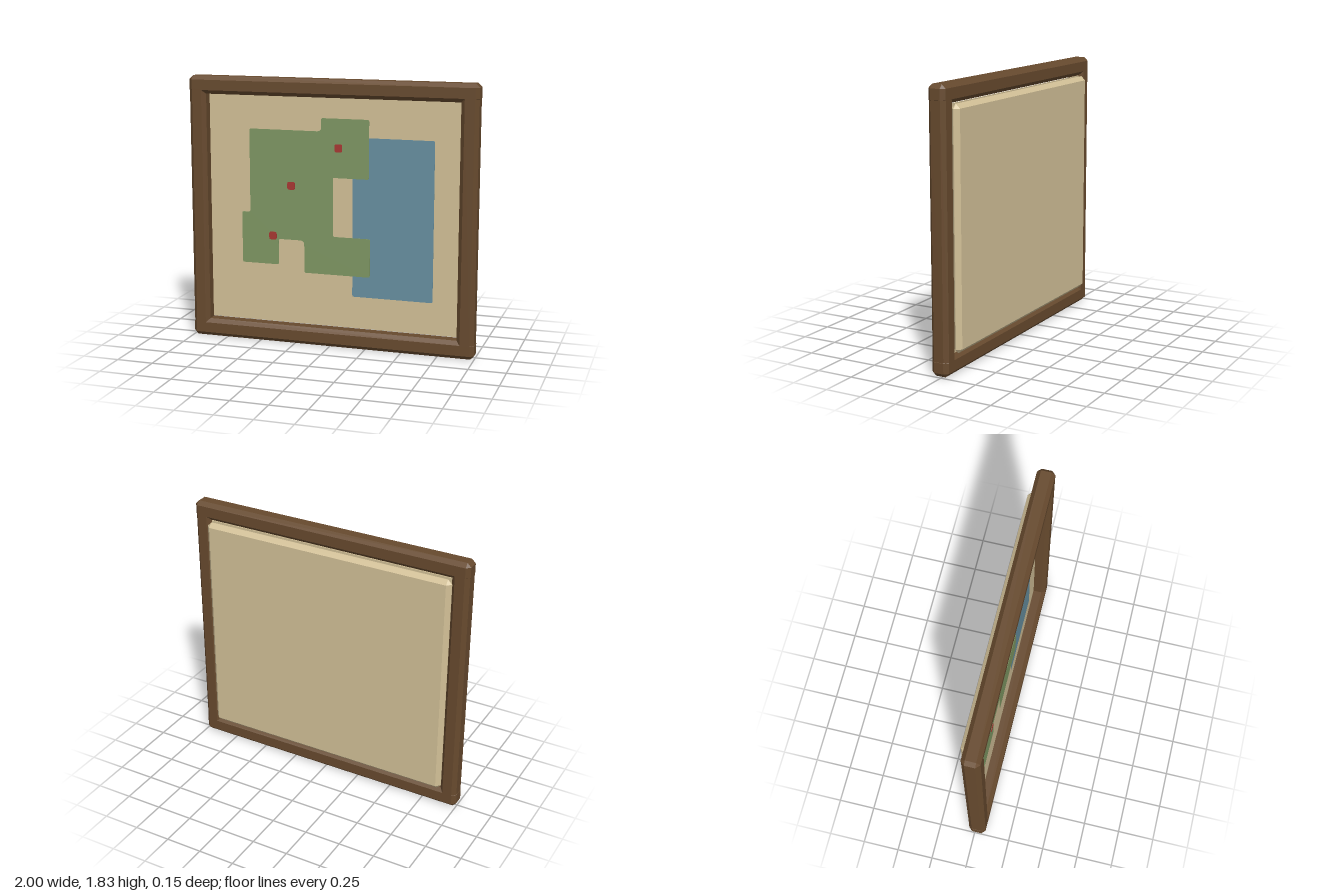
import * as THREE from 'three';
import { ConvexGeometry } from 'three/addons/geometries/ConvexGeometry.js';

const material = (name, color) => {
  const m = new THREE.MeshStandardMaterial({ color });
  m.name = name;
  return m;
};

// Box between two corners with every edge cut at 45 degrees
function chamferBox(min, max, c) {
  const points = [];
  for (let i = 0; i < 8; i++) {
    const s = [i & 1, (i >> 1) & 1, (i >> 2) & 1];
    for (let face = 0; face < 3; face++) {
      const p = s.map((high, axis) => {
        const inset = axis === face ? 0 : c;
        return high ? max[axis] - inset : min[axis] + inset;
      });
      points.push(new THREE.Vector3(...p));
    }
  }
  return new ConvexGeometry(points);
}

// Flat outline with a rounding radius per corner: [x, y, r]
function roundedOutline(corners) {
  const shape = new THREE.Shape();
  const n = corners.length;
  corners.forEach(([x, y, r = 0.012], i) => {
    const here = new THREE.Vector2(x, y);
    const towards = ([px, py]) => new THREE.Vector2(px, py).sub(here).setLength(r).add(here);
    const a = towards(corners[(i + n - 1) % n]);
    const b = towards(corners[(i + 1) % n]);
    if (i === 0) shape.moveTo(a.x, a.y);
    else shape.lineTo(a.x, a.y);
    shape.quadraticCurveTo(x, y, b.x, b.y);
  });
  shape.closePath();
  return shape;
}

const rectangle = (x0, y0, x1, y1, r) =>
  [[x0, y0, r], [x1, y0, r], [x1, y1, r], [x0, y1, r]];

export function createModel() {
  const group = new THREE.Group();
  group.name = 'framedMap';

  const wood = material('wood', 0x674a2e);
  const parchment = material('parchment', 0xd2c097);
  const land = material('land', 0x7e9763);
  const water = material('water', 0x678fa0);
  const marker = material('marker', 0xa83732);

  const add = (name, geometry, mat, z = 0) => {
    const mesh = new THREE.Mesh(geometry, mat);
    mesh.name = name;
    mesh.position.z = z;
    group.add(mesh);
  };

  // Wooden frame: full-width rails with stiles set between them
  const back = -0.045, front = 0.075, cut = 0.026;
  add('topRail', chamferBox([-1, 1.703, back], [1, 1.825, front], cut), wood);
  add('bottomRail', chamferBox([-1, 0, back], [1, 0.122, front], cut), wood);
  add('leftStile', chamferBox([0.88, 0.063, back], [0.998, 1.762, front], cut), wood);
  add('rightStile', chamferBox([-0.998, 0.063, back], [-0.88, 1.762, front], cut), wood);

  // Backing board, proud of the back of the frame
  add('backingBoard', chamferBox([-0.893, 0.13, -0.077], [0.893, 1.698, -0.016], 0.028), parchment);

  // Map sheet
  const sheet = new THREE.BoxGeometry(1.77, 1.572, 0.008);
  sheet.translate(0, 0.913, -0.015);
  add('mapSheet', sheet, parchment);

  // Painted map areas, stacked as thin plates
  const plate = (name, corners, mat, z) => add(name, new THREE.ExtrudeGeometry(
    roundedOutline(corners), { depth: 0.003, bevelEnabled: false, curveSegments: 4 }), mat, z);

  plate('sea', rectangle(0.142, 0.348, 0.7, 1.438), water, -0.011);
  plate('land', [
    [-0.59, 1.47], [-0.077, 1.47, 0.03], [-0.077, 1.56], [0.255, 1.56],
    [0.255, 1.16], [0.005, 1.16, 0.004], [0.005, 0.755, 0.012], [0.265, 0.755],
    [0.265, 0.49], [-0.2, 0.49], [-0.2, 0.715, 0.03], [-0.385, 0.715, 0.015],
    [-0.385, 0.535], [-0.65, 0.535], [-0.65, 0.893], [-0.59, 0.893, 0.015],
  ], land, -0.008);

  // Place markers
  [[0.043, 1.362], [-0.292, 1.09], [-0.426, 0.736]].forEach(([x, y], i) =>
    plate(`placeMarker${i + 1}`,
      rectangle(x - 0.027, y - 0.027, x + 0.027, y + 0.027, 0.013), marker, -0.005));

  return group;
}
